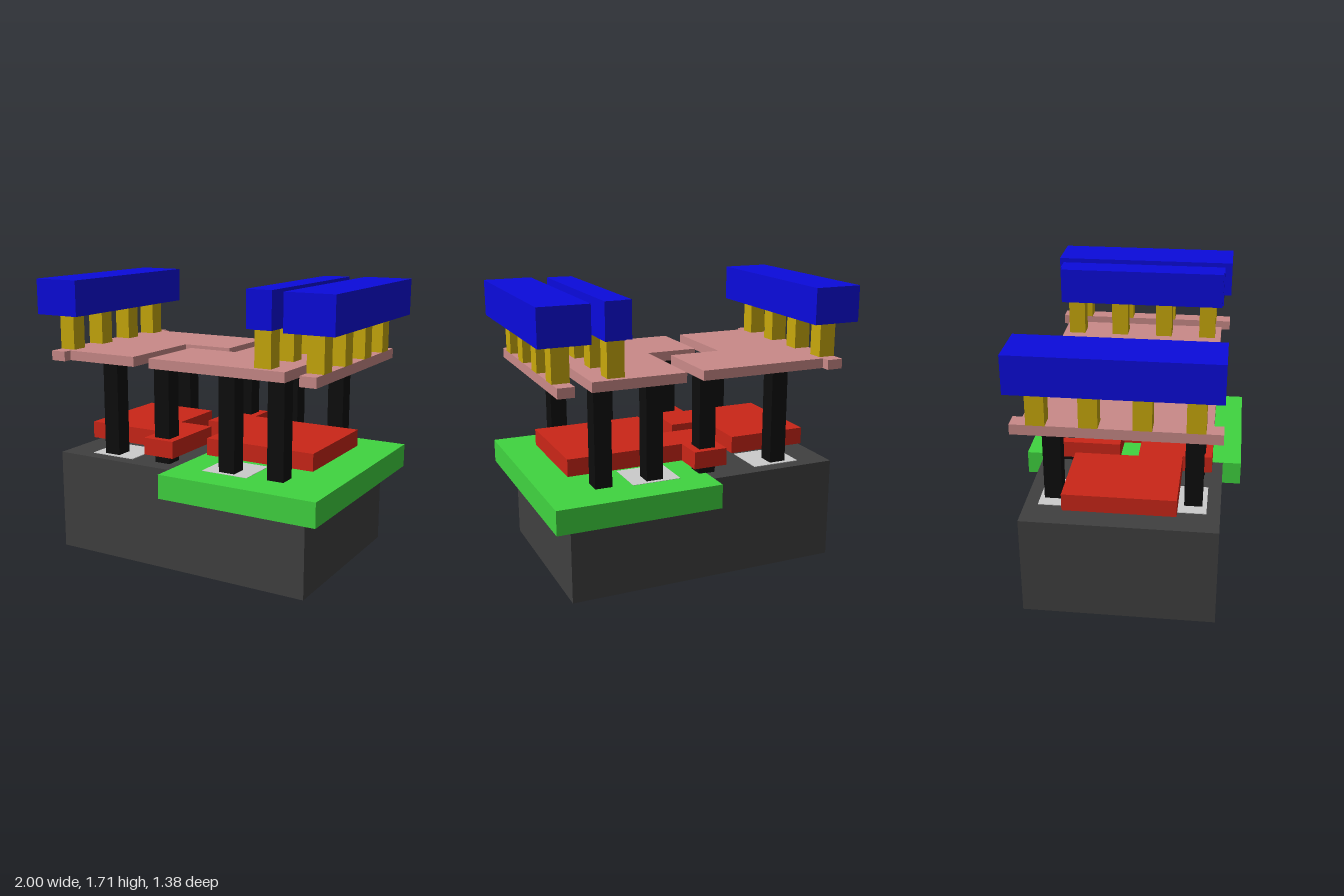
import * as THREE from 'three';

const mat = (color) => new THREE.MeshStandardMaterial({ color });
const mats = {
  substrate: mat(0x404040), well: mat(0x40d440), diffusion: mat(0xcccccc),
  gate: mat(0xcb2618), contact: mat(0x0d0d0d), metal: mat(0xc98a88),
  via: mat(0xc8a80c), rail: mat(0x0b0bdc),
};

// Box given by its min and max on each axis
function block(name, material, [x0, x1], [y0, y1], [z0, z1]) {
  const mesh = new THREE.Mesh(new THREE.BoxGeometry(x1 - x0, y1 - y0, z1 - z0), material);
  mesh.position.set((x0 + x1) / 2, (y0 + y1) / 2, (z0 + z1) / 2);
  mesh.name = name;
  return mesh;
}

// Flat plate from an outline of [x, z] points, between heights y0 and y1
function plate(name, material, outline, y0, y1) {
  const shape = new THREE.Shape(outline.map(([x, z]) => new THREE.Vector2(x, -z)));
  const geo = new THREE.ExtrudeGeometry(shape, { depth: y1 - y0, bevelEnabled: false });
  geo.rotateX(-Math.PI / 2);
  const mesh = new THREE.Mesh(geo, material);
  mesh.position.y = y0;
  mesh.name = name;
  return mesh;
}

export function createModel() {
  const model = new THREE.Group();

  // Base and the well set into its top
  model.add(block('substrate', mats.substrate, [-0.85, 0.85], [0, 0.625], [-0.575, 0.575]));
  model.add(block('well', mats.well, [-0.04, 0.965], [0.48, 0.627], [-0.69, 0.69]));

  // Diffusion patches at both ends of each gate
  for (const x of [-0.51, 0.29])
    for (const s of [-1, 1])
      model.add(block('diffusion', mats.diffusion, [x - 0.15, x + 0.15], [0.6, 0.629],
        [s * 0.36 - 0.135, s * 0.36 + 0.135]));

  // Gates, each with a tab for its contact
  model.add(plate('leftGate', mats.gate, [[-0.785, -0.33], [-0.285, -0.33], [-0.285, 0.06],
    [-0.055, 0.06], [-0.055, 0.51], [-0.26, 0.51], [-0.26, 0.33], [-0.785, 0.33]], 0.675, 0.78));
  model.add(plate('rightGate', mats.gate, [[0.78, 0.33], [0.075, 0.33], [0.075, -0.07],
    [-0.155, -0.07], [-0.155, -0.51], [0.055, -0.51], [0.055, -0.33], [0.78, -0.33]], 0.675, 0.78));

  // Contact posts, front row and back row
  const rows = [[0.415, [-0.533, -0.157, 0.292, 0.61]], [-0.415, [-0.533, -0.047, 0.292, 0.61]]];
  for (const [z, xs] of rows)
    for (const x of xs)
      model.add(block('contactPost', mats.contact, [x - 0.052, x + 0.052], [0.6, 1.215],
        [z - 0.053, z + 0.053]));

  // Interlocking metal plates and the separate strip
  model.add(plate('leftMetalPlate', mats.metal, [[-0.9, -0.575], [-0.8, -0.575], [-0.8, -0.52],
    [0.007, -0.52], [0.007, -0.06], [-0.32, -0.06], [-0.32, 0.52], [-0.8, 0.52],
    [-0.8, 0.575], [-0.9, 0.575]], 1.21, 1.27));
  model.add(plate('rightMetalPlate', mats.metal, [[0.112, -0.52], [0.685, -0.52], [0.685, 0.52],
    [-0.21, 0.52], [-0.21, 0.053], [0.112, 0.053]], 1.21, 1.27));
  model.add(block('metalStrip', mats.metal, [0.8, 0.9], [1.21, 1.27], [-0.575, 0.575]));

  // Vias under each rail
  for (const x of [-0.85, 0.53, 0.85])
    for (const z of [-0.43, -0.145, 0.145, 0.43])
      model.add(block('via', mats.via, [x - 0.052, x + 0.052], [1.27, 1.49], [z - 0.052, z + 0.052]));

  // Top rails
  for (const s of [-1, 1])
    model.add(block('outerRail', mats.rail, [s * 0.85 - 0.15, s * 0.85 + 0.15], [1.49, 1.71], [-0.575, 0.575]));
  model.add(plate('innerRail', mats.rail, [[0.447, -0.523], [0.487, -0.523], [0.487, -0.533],
    [0.608, -0.533], [0.608, 0.53], [0.487, 0.53], [0.487, 0.523], [0.447, 0.523]], 1.49, 1.71));

  return model;
}
